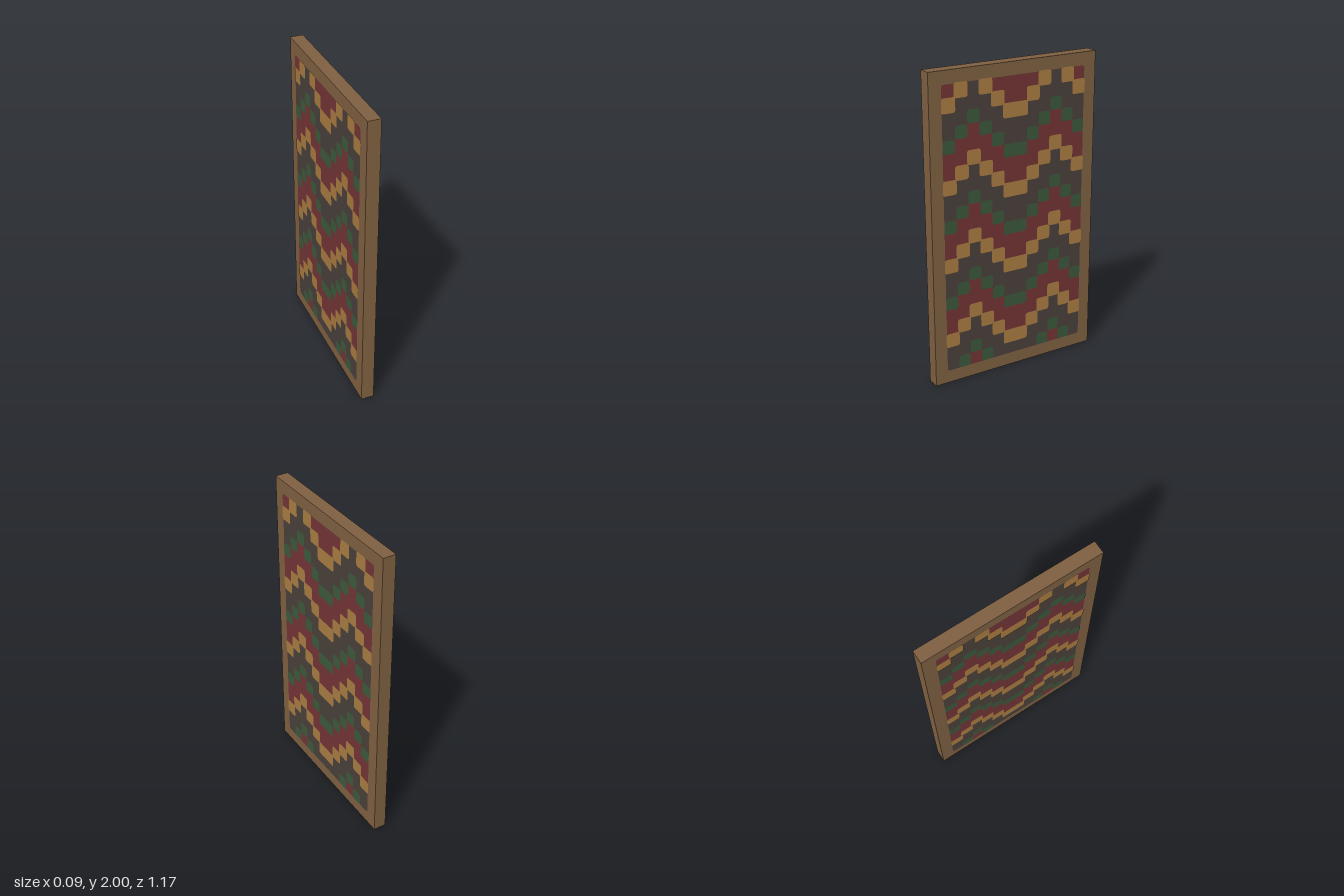
import * as THREE from 'three';
import { mergeGeometries } from 'three/addons/utils/BufferGeometryUtils.js';

const CELL = 1 / 12, COLS = 12, ROWS = 22;
const paint = (name, color) => Object.assign(new THREE.MeshStandardMaterial({ color }), { name });

// Flat rectangle with softened corners
function patch(x0, y0, x1, y1, r) {
  const s = new THREE.Shape();
  if (r === 0) {
    s.moveTo(x0, y0).lineTo(x1, y0).lineTo(x1, y1).lineTo(x0, y1);
  } else {
    s.moveTo(x0 + r, y0).lineTo(x1 - r, y0).quadraticCurveTo(x1, y0, x1, y0 + r);
    s.lineTo(x1, y1 - r).quadraticCurveTo(x1, y1, x1 - r, y1);
    s.lineTo(x0 + r, y1).quadraticCurveTo(x0, y1, x0, y1 - r);
    s.lineTo(x0, y0 + r).quadraticCurveTo(x0, y0, x0 + r, y0);
  }
  return new THREE.ShapeGeometry(s, 3);
}

// Zigzag weave: six-row repeat shifted up or down per column, mirrored about the middle
const REPEAT = ['gold', 'red', 'red', 'green', 'dark', 'dark'];
const SHIFT = [0, 1, 2, 1, 0, -1];
function colourAt(col, row) {
  const shift = SHIFT[Math.min(col, COLS - 1 - col)];
  return REPEAT[(row - 3 - shift + 12) % 6];
}

// All patches of one colour, joining neighbours in each row
function weave(colour, grow, radius) {
  const parts = [];
  for (let row = 1; row <= ROWS; row++) {
    for (let col = 0; col < COLS; col++) {
      if (colourAt(col, row) !== colour) continue;
      const start = col;
      while (col + 1 < COLS && colourAt(col + 1, row) === colour) col++;
      const r = radius || (row === ROWS ? 0.015 : 0);
      parts.push(patch((start - 6) * CELL - grow, row * CELL - grow,
        (col - 5) * CELL + grow, (row + 1) * CELL + grow, r));
    }
  }
  return mergeGeometries(parts);
}

export function createModel() {
  const model = new THREE.Group();
  model.name = 'patternedPanel';
  const wood = paint('wood', 0x7f6041);
  const dark = paint('darkCloth', 0x4a403a);
  const red = paint('redCloth', 0x733435);
  const green = paint('greenCloth', 0x3c583c);
  const gold = paint('goldCloth', 0xa97c41);

  // Wooden board, whose rim shows as the frame
  const board = new THREE.Mesh(new THREE.BoxGeometry(CELL, 2, 14 * CELL), wood);
  board.name = 'frame';
  board.position.y = 1;
  model.add(board);

  // Woven layers, repeated on both broad faces
  const layers = [
    ['clothGround', patch(-0.5, CELL, 0.5, 2 - CELL, 0.018), dark, 0.0012],
    ['redBands', weave('red', 0, 0), red, 0.002],
    ['greenZigzag', weave('green', 0, 0.018), green, 0.0028],
    ['goldZigzag', weave('gold', 0.005, 0.016), gold, 0.0036],
  ];
  for (const side of [1, -1]) {
    const cloth = new THREE.Group();
    cloth.name = side > 0 ? 'leftCloth' : 'rightCloth';
    cloth.rotation.y = side * Math.PI / 2;
    for (const [name, geometry, material, lift] of layers) {
      const mesh = new THREE.Mesh(geometry, material);
      mesh.name = name;
      mesh.position.z = CELL / 2 + lift;
      cloth.add(mesh);
    }
    model.add(cloth);
  }
  return model;
}
